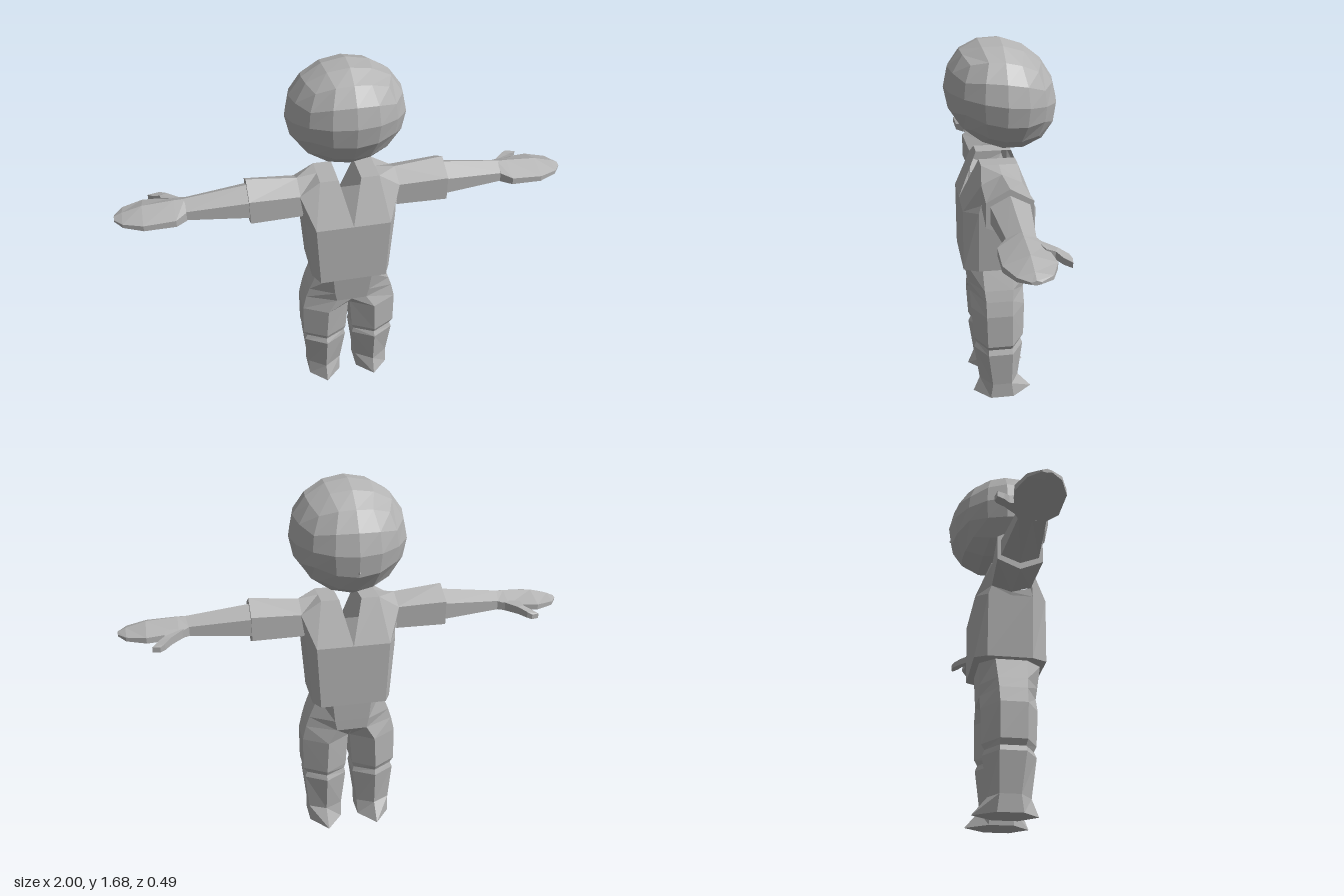
import * as THREE from 'three';

const grey = new THREE.MeshStandardMaterial({ color: 0xb2b2b2, flatShading: true, side: THREE.DoubleSide });
grey.name = 'plain grey';

// Mesh from a flat list of triangle corners
function meshOf(name, corners) {
  const geo = new THREE.BufferGeometry();
  geo.setAttribute('position', new THREE.Float32BufferAttribute(corners.flat(), 3));
  geo.computeVertexNormals();
  const mesh = new THREE.Mesh(geo, grey);
  mesh.name = name;
  return mesh;
}

// Skin over equal-length rings, with optional end caps, turned to face outwards
function loft(name, rings, capStart = true, capEnd = true) {
  const n = rings[0].length;
  const tris = [];
  for (let r = 0; r + 1 < rings.length; r++) {
    for (let i = 0; i < n; i++) {
      const j = (i + 1) % n, a = rings[r], b = rings[r + 1];
      tris.push([a[i], a[j], b[j]], [a[i], b[j], b[i]]);
    }
  }
  const last = rings[rings.length - 1];
  for (let i = 1; i + 1 < n; i++) {
    if (capStart) tris.push([rings[0][0], rings[0][i + 1], rings[0][i]]);
    if (capEnd) tris.push([last[0], last[i], last[i + 1]]);
  }
  const mid = new THREE.Vector3();
  rings.flat().forEach(p => mid.add(new THREE.Vector3(...p)));
  mid.divideScalar(rings.length * n);
  let volume = 0;
  for (const t of tris) {
    const [a, b, c] = t.map(p => new THREE.Vector3(...p).sub(mid));
    volume += a.dot(b.cross(c));
  }
  if (volume < 0) tris.forEach(t => t.reverse());
  return meshOf(name, tris.flat());
}

// Separate four-cornered panels, each facing away from a centre
function panels(name, quads, centre) {
  const out = [];
  for (const q of quads) {
    const [a, b, c] = q.map(p => new THREE.Vector3(...p));
    const normal = b.clone().sub(a).cross(c.clone().sub(a));
    const p = normal.dot(a.sub(new THREE.Vector3(...centre))) < 0 ? [...q].reverse() : q;
    out.push(p[0], p[1], p[2], p[0], p[2], p[3]);
  }
  return meshOf(name, out);
}

// Six-sided arm section with a ridge along its top and bottom
function armRing(s, x, top, bottom, front, back, upper, lower) {
  const mid = 0.022;
  return [[x, top, mid], [x, upper, front], [x, lower, front],
    [x, bottom, mid], [x, lower, back], [x, upper, back]].map(([px, y, z]) => [s * px, y, z]);
}

function makeHead() {
  const head = new THREE.Group();
  head.name = 'head';
  // Cube rounded into a ball, sheared and drawn out at the chin
  const geo = new THREE.BoxGeometry(2, 2, 2, 4, 4, 4).toNonIndexed();
  const pos = geo.attributes.position;
  const chin = new THREE.Vector3(0, -0.75, -0.66).normalize();
  const v = new THREE.Vector3();
  for (let i = 0; i < pos.count; i++) {
    v.fromBufferAttribute(pos, i);
    v.set(...v.toArray().map(c => Math.tan(c * Math.PI / 4))).normalize();
    const r = 1 + 0.06 * Math.max(0, v.dot(chin)) ** 3;
    const z = v.z * 0.243 * r;
    pos.setXYZ(i, v.x * 0.257, 1.45 + v.y * 0.235 * r + 0.13 * z, z);
  }
  geo.computeVertexNormals();
  const skull = new THREE.Mesh(geo, grey);
  skull.name = 'skull';
  head.add(skull);
  // Small pointed nose
  head.add(loft('nose', [
    [[0, 1.385, -0.22], [0.017, 1.345, -0.215], [0, 1.325, -0.21], [-0.017, 1.345, -0.215]],
    [[0, 1.347, -0.244], [0.001, 1.345, -0.244], [0, 1.343, -0.244], [-0.001, 1.345, -0.244]],
  ]));
  return head;
}

function makeTorso() {
  const torso = new THREE.Group();
  torso.name = 'torso';
  // Bevelled trunk, open at the top
  const ring = (y, panel, side) => [
    [panel, y, 0.185], [side, y, 0.12], [side, y, -0.08], [panel, y, -0.135],
    [-panel, y, -0.135], [-side, y, -0.08], [-side, y, 0.12], [-panel, y, 0.185]];
  torso.add(loft('trunk', [ring(0.68, 0.15, 0.18), ring(0.97, 0.165, 0.202)], true, false));

  // Chest halves, parted by a V at front and back
  for (const s of [1, -1]) {
    const quads = [];
    const armpit = [0.205, 0.985, 0.022], ridge = [0.22, 1.152, 0.022];
    for (const [wide, bevel, top, sleeve] of [[0.185, 0.12, 0.1, 0.11], [-0.135, -0.08, -0.06, -0.066]]) {
      const upper = [0.22, 1.11, sleeve], lower = [0.205, 1.01, sleeve];
      quads.push(
        [[0, 0.97, wide], [0.165, 0.97, wide], [0.13, 1.165, top], [0.05, 1.165, top]],
        [[0.165, 0.97, wide], [0.202, 0.97, bevel], lower, upper],
        [[0.165, 0.97, wide], upper, [0.13, 1.165, top], [0.13, 1.165, top]],
        [[0.13, 1.165, top], upper, ridge, [0.13, 1.165, 0.022]],
        [[0.05, 1.165, top], [0.13, 1.165, top], [0.13, 1.165, 0.022], [0.05, 1.165, 0.022]],
        [[0.202, 0.97, bevel], lower, armpit, [0.202, 0.97, 0.022]]);
    }
    const mirrored = quads.map(q => q.map(([x, y, z]) => [s * x, y, z]));
    torso.add(panels(s > 0 ? 'leftChest' : 'rightChest', mirrored, [s * 0.1, 1.03, 0.022]));
  }
  return torso;
}

function makeArm(s) {
  const arm = new THREE.Group();
  arm.name = s > 0 ? 'leftArm' : 'rightArm';
  arm.add(loft('sleeve', [
    armRing(s, 0.21, 1.152, 0.985, 0.11, -0.066, 1.11, 1.01),
    armRing(s, 0.437, 1.175, 0.97, 0.12, -0.075, 1.12, 1.012),
  ], false, true));
  arm.add(loft('forearm', [
    armRing(s, 0.43, 1.148, 0.998, 0.103, -0.06, 1.105, 1.03),
    armRing(s, 0.71, 1.115, 1.03, 0.08, -0.033, 1.085, 1.045),
  ]));
  // Flat mitten hand
  arm.add(loft('hand', [
    armRing(s, 0.70, 1.115, 1.03, 0.085, -0.035, 1.085, 1.045),
    armRing(s, 0.745, 1.114, 1.033, 0.12, -0.06, 1.075, 1.045),
    armRing(s, 0.88, 1.106, 1.036, 0.122, -0.078, 1.07, 1.045),
    armRing(s, 0.965, 1.083, 1.042, 0.085, -0.045, 1.066, 1.049),
    armRing(s, 1.0, 1.068, 1.05, 0.04, 0.004, 1.062, 1.054),
  ]));
  // Thumb swinging back and slightly down
  const thumb = [
    [0.705, -0.025, 0.80, -0.05, 1.085, 1.045],
    [0.775, -0.1, 0.805, -0.085, 1.075, 1.042],
    [0.805, -0.135, 0.835, -0.108, 1.062, 1.035],
    [0.825, -0.145, 0.858, -0.138, 1.052, 1.03],
  ].map(([x1, z1, x2, z2, top, low]) => [
    [s * x1, top, z1], [s * x2, top, z2], [s * x2, low, z2], [s * x1, low, z1]]);
  arm.add(loft('thumb', thumb));
  return arm;
}

function makeLeg(s) {
  // Height, inner, middle and outer x, front and back z, inner front and back z, outer front and back z
  const rows = [
    [0.68, 0, 0.09, 0.15, 0.168, -0.105, 0.168, -0.105, 0.1, -0.04],
    [0.58, 0, 0.08, 0.19, 0.156, -0.102, 0.156, -0.102, 0.095, -0.035],
    [0.53, 0, 0.07, 0.206, 0.15, -0.1, 0.15, -0.1, 0.09, -0.032],
    [0.46, 0.004, 0.11, 0.222, 0.15, -0.1, 0.09, -0.03, 0.09, -0.03],
    [0.30, 0.016, 0.118, 0.222, 0.14, -0.096, 0.085, -0.03, 0.085, -0.03],
    [0.275, 0.024, 0.118, 0.205, 0.128, -0.082, 0.08, -0.03, 0.08, -0.03],
    [0.25, 0.018, 0.118, 0.216, 0.14, -0.092, 0.082, -0.032, 0.082, -0.032],
    [0.075, 0.04, 0.12, 0.198, 0.115, -0.07, 0.06, -0.03, 0.06, -0.03],
    [0, 0.043, 0.12, 0.197, 0.145, -0.135, 0.07, -0.04, 0.07, -0.04],
  ];
  const rings = rows.map(([y, inner, mid, outer, f, b, inF, inB, outF, outB]) => [
    [s * mid, y, f], [s * outer, y, outF], [s * outer, y, outB],
    [s * mid, y, b], [s * inner, y, inB], [s * inner, y, inF]]);
  return loft(s > 0 ? 'leftLeg' : 'rightLeg', rings);
}

export function createModel() {
  const figure = new THREE.Group();
  figure.name = 'figure';
  figure.add(makeHead(), makeTorso());
  for (const s of [1, -1]) figure.add(makeArm(s), makeLeg(s));
  return figure;
}
